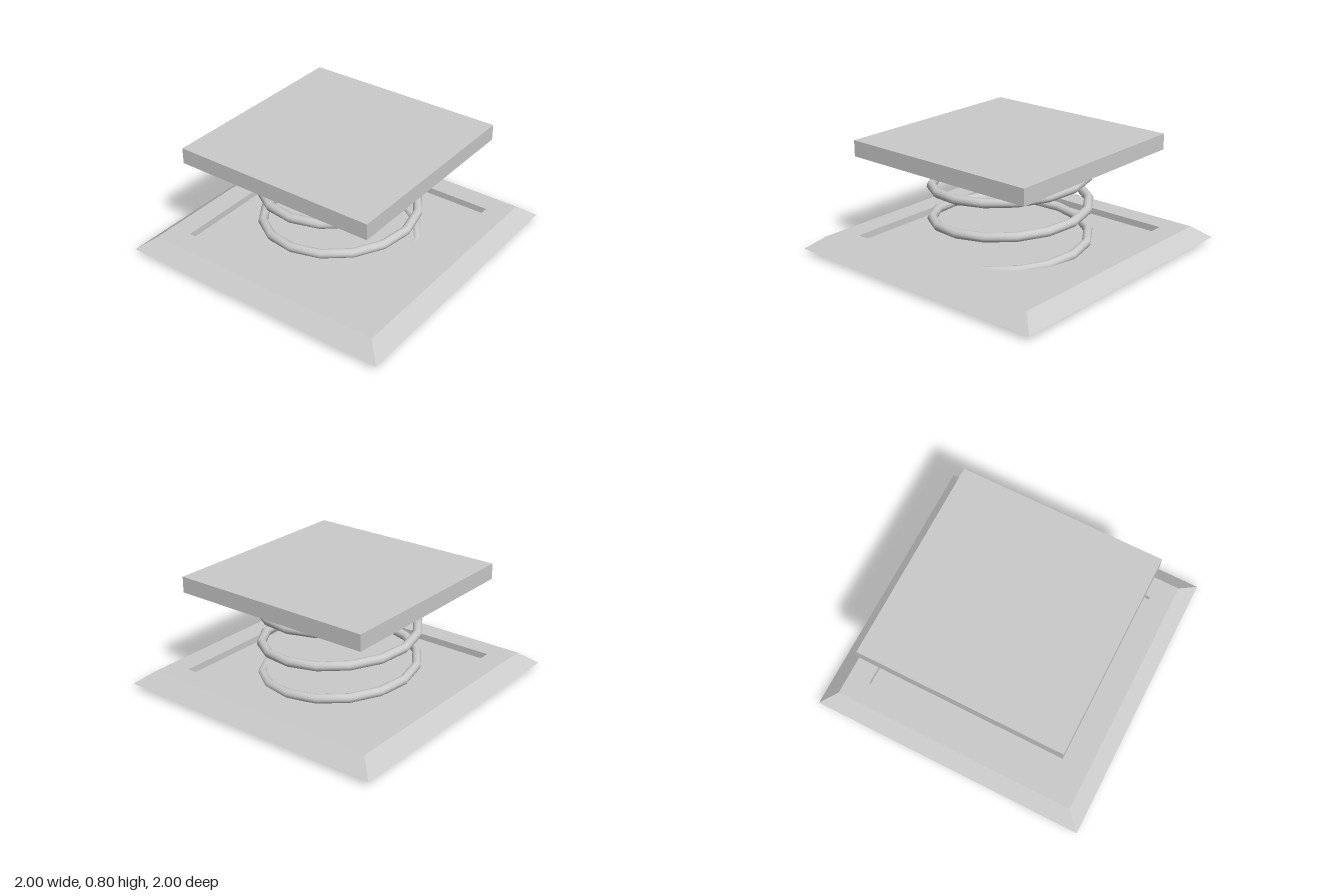
import * as THREE from 'three';

// Helix that climbs from +x towards the back
class Helix extends THREE.Curve {
  constructor(radius, bottom, pitch, turns) {
    super();
    Object.assign(this, { radius, bottom, pitch, turns });
  }
  getPoint(t, target = new THREE.Vector3()) {
    const a = t * this.turns * Math.PI * 2;
    return target.set(
      this.radius * Math.cos(a),
      this.bottom + this.pitch * this.turns * t,
      -this.radius * Math.sin(a)
    );
  }
}

export function createModel() {
  const group = new THREE.Group();
  const flat = new THREE.MeshStandardMaterial({ color: 0xcccccc, flatShading: true });
  const smooth = new THREE.MeshStandardMaterial({ color: 0xcccccc });

  const add = (name, geometry, material) => {
    const mesh = new THREE.Mesh(geometry, material);
    mesh.name = name;
    group.add(mesh);
    return mesh;
  };

  // Square base with sloping sides and a recess: a four-sided lathe
  const profile = [
    [0, 0.035], [1, 0.035], [0.89, 0.122], [0.735, 0.122], [0.735, 0.075], [0, 0.075],
  ].map(([half, y]) => new THREE.Vector2(half * Math.SQRT2, y));
  add('base', new THREE.LatheGeometry(profile, 4, Math.PI / 4), flat);

  // Coil spring, three turns of sixteen segments, with closed ends
  const wire = 0.032;
  const helix = new Helix(0.537, 0.033, 0.234, 3);
  add('spring', new THREE.TubeGeometry(helix, 48, wire, 12), smooth);
  for (const t of [0, 1]) {
    const cap = add(t ? 'springTopEnd' : 'springBottomEnd', new THREE.CircleGeometry(wire, 12), flat);
    const outward = helix.getTangent(t).multiplyScalar(t ? 1 : -1);
    cap.position.copy(helix.getPoint(t));
    cap.quaternion.setFromUnitVectors(new THREE.Vector3(0, 0, 1), outward);
  }

  // Top plate
  const plate = add('topPlate', new THREE.BoxGeometry(1.47, 0.112, 1.47), flat);
  plate.position.y = 0.745;

  return group;
}
